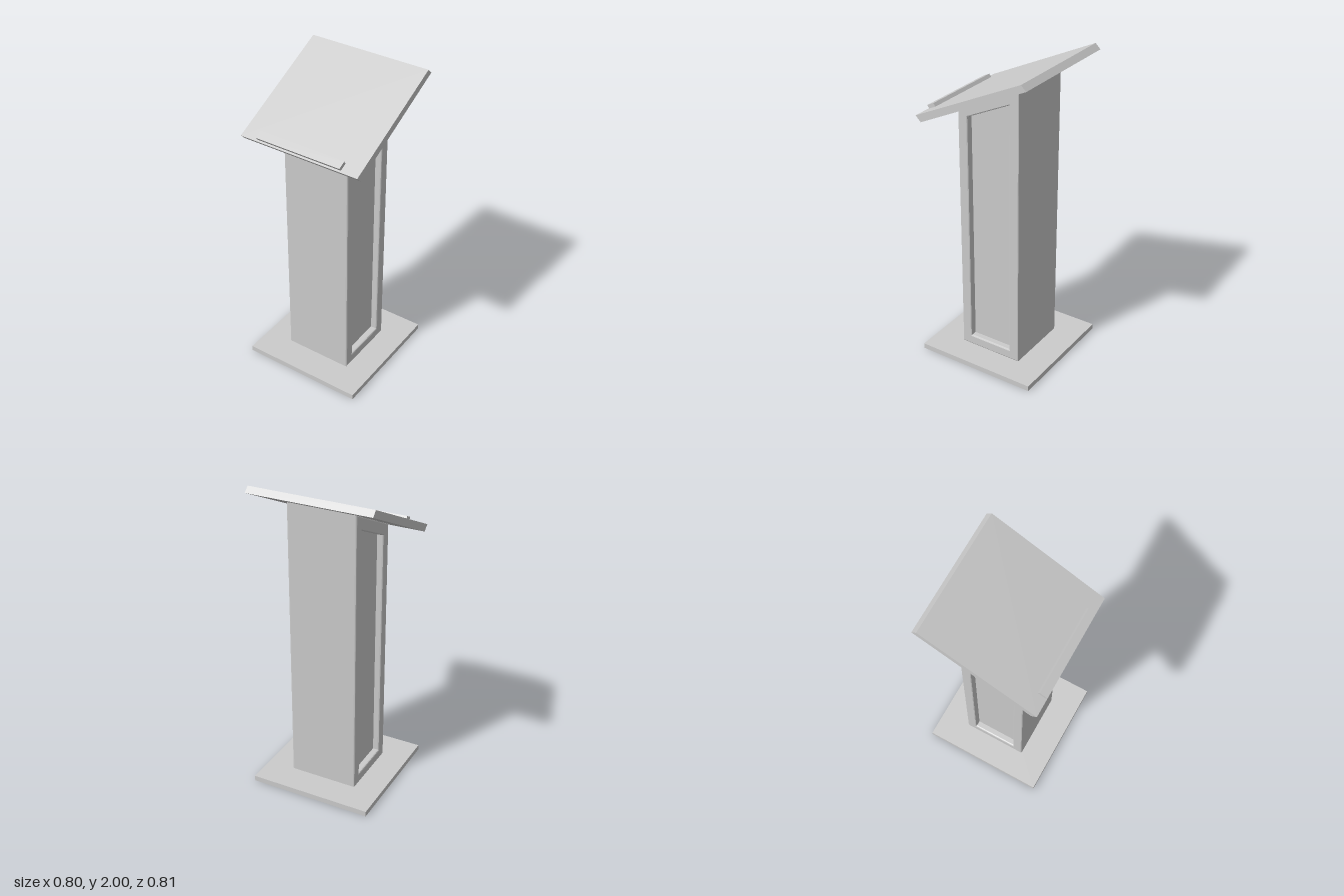
import * as THREE from 'three';

const material = new THREE.MeshStandardMaterial({ color: 0xcccccc });
const SLOPE = 0.479; // rise of the reading surface per unit of depth

// Extrudes a side profile of [z, y] points across the width in x
function slab(name, points, width, { hole, bevel = 0 } = {}) {
  const toVectors = (list) => list.map(([z, y]) => new THREE.Vector2(z, y));
  const shape = new THREE.Shape(toVectors(points));
  if (hole) shape.holes.push(new THREE.Path(toVectors(hole)));
  const geometry = new THREE.ExtrudeGeometry(shape, {
    depth: width - 2 * bevel,
    bevelEnabled: bevel > 0,
    bevelThickness: bevel,
    bevelSize: bevel * 0.8,
    bevelOffset: -bevel * 0.8,
    bevelSegments: 2,
  });
  geometry.translate(0, 0, bevel - width / 2);
  geometry.rotateY(-Math.PI / 2);
  const mesh = new THREE.Mesh(geometry, material);
  mesh.name = name;
  return mesh;
}

// Four-cornered profile with a level bottom and a sloping top
const slopedProfile = (halfDepth, bottom, topAtCentre) => [
  [-halfDepth, bottom],
  [halfDepth, bottom],
  [halfDepth, topAtCentre - halfDepth * SLOPE],
  [-halfDepth, topAtCentre + halfDepth * SLOPE],
];

export function createModel() {
  const group = new THREE.Group();
  group.name = 'lectern';

  // Square foot plate
  const base = new THREE.Mesh(new THREE.BoxGeometry(0.8, 0.035, 0.808), material);
  base.name = 'base';
  base.position.y = 0.0175;
  group.add(base);

  // Column with a framed opening on each side, filled by a recessed core
  const opening = slopedProfile(0.145, 0.1, 1.707);
  group.add(slab('columnFrame', slopedProfile(0.213, 0.033, 1.79), 0.45, { hole: opening, bevel: 0.01 }));
  group.add(slab('recessedPanels', opening, 0.365));

  // Sloping reading board with slanted front and back ends
  group.add(slab('readingBoard', [
    [-0.371, 1.967], [0.35, 1.62], [0.386, 1.655], [-0.338, 2.0],
  ], 0.8));

  // Lip that stops papers from sliding off
  group.add(slab('paperStop', [
    [0.328, 1.682], [0.374, 1.66], [0.389, 1.679], [0.342, 1.702],
  ], 0.572));

  return group;
}
